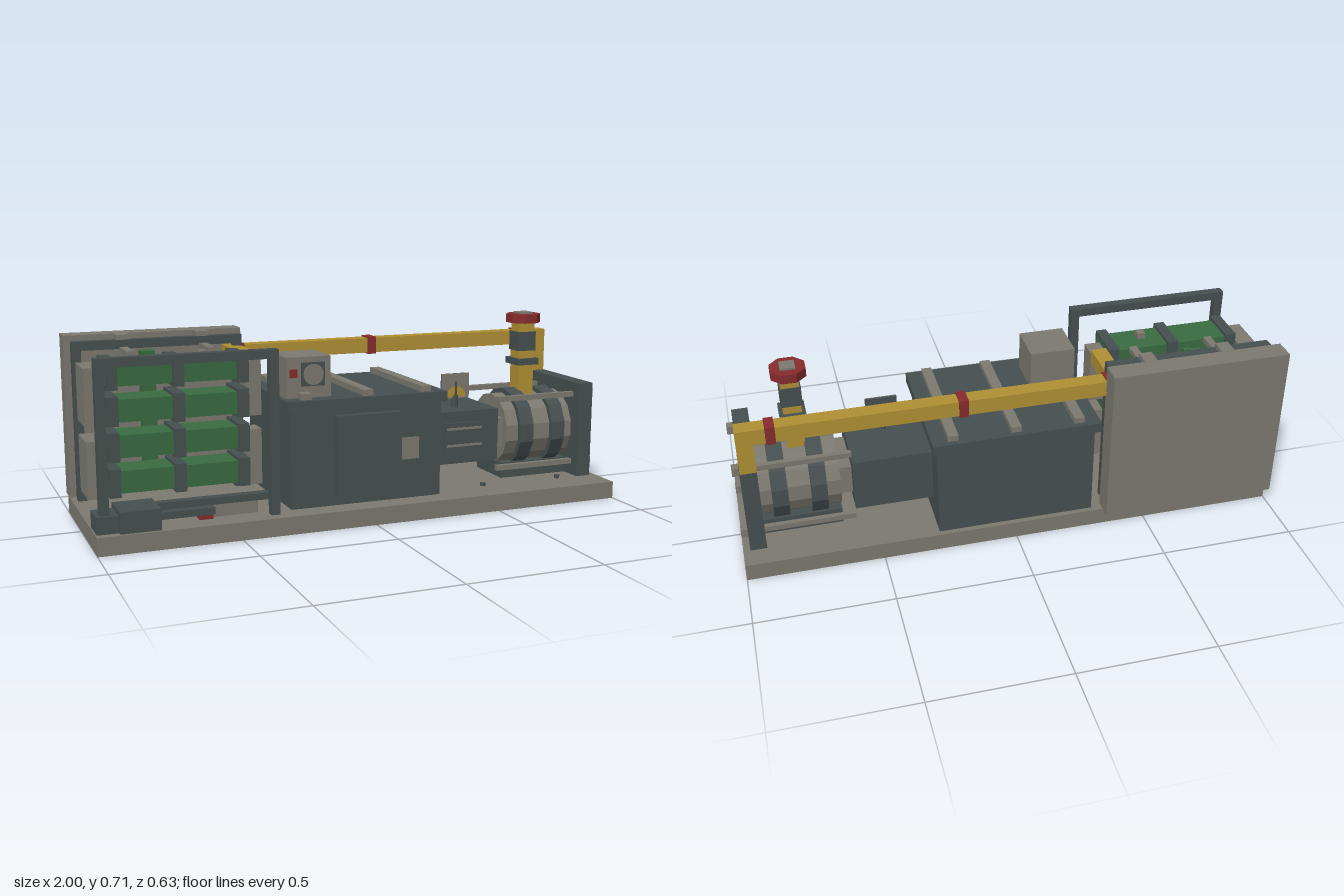
import * as THREE from 'three';

const paint = (name, color) => {
  const m = new THREE.MeshStandardMaterial({ color });
  m.name = name;
  return m;
};

export function createModel() {
  const grey = paint('warmGrey', 0x7b796f);
  const slate = paint('slate', 0x464f50);
  const green = paint('green', 0x3a6b41);
  const yellow = paint('yellow', 0xb09034);
  const red = paint('red', 0x862b2c);

  const model = new THREE.Group();
  model.name = 'pumpSkid';

  const group = (name) => {
    const g = new THREE.Group();
    g.name = name;
    model.add(g);
    return g;
  };
  // Box given by its limits on each axis
  const box = (parent, name, mat, x0, x1, y0, y1, z0, z1) => {
    const m = new THREE.Mesh(new THREE.BoxGeometry(x1 - x0, y1 - y0, z1 - z0), mat);
    m.position.set((x0 + x1) / 2, (y0 + y1) / 2, (z0 + z1) / 2);
    m.name = name;
    parent.add(m);
    return m;
  };
  // Faceted cylinder along x, y or z
  const cyl = (parent, name, mat, r, len, sides, axis, x, y, z) => {
    const geo = new THREE.CylinderGeometry(r, r, len, sides);
    geo.rotateY(Math.PI / sides);
    if (axis === 'x') geo.rotateZ(Math.PI / 2);
    if (axis === 'z') geo.rotateX(Math.PI / 2);
    const m = new THREE.Mesh(geo.toNonIndexed(), mat);
    m.geometry.computeVertexNormals();
    m.position.set(x, y, z);
    m.name = name;
    parent.add(m);
    return m;
  };

  // Base: thin deck on a hollow frame with two cross ribs
  const base = group('base');
  box(base, 'deck', grey, -1, 1, 0.05, 0.065, -0.27, 0.315);
  for (const z of [-0.27, 0.295]) box(base, 'sideRail', grey, -1, 1, 0, 0.05, z, z + 0.02);
  for (const x of [-1, -0.345, 0.325, 0.98])
    box(base, 'crossRib', grey, x, x + 0.02, 0, 0.05, -0.25, 0.295);
  for (const x of [-0.5, 0.5, 0.83]) cyl(base, 'deckBolt', slate, 0.01, 0.015, 8, 'y', x, 0.07, 0.18);

  // Rear shield panel
  box(group('rearPanel'), 'panel', grey, -1, -0.335, 0.065, 0.667, -0.312, -0.23);

  // Engine housing with lid, ribs and door
  const housing = group('engineHousing');
  box(housing, 'body', slate, -0.295, 0.29, 0.045, 0.425, -0.25, 0.23);
  box(housing, 'lid', slate, -0.313, 0.307, 0.42, 0.458, -0.27, 0.25);
  for (const x of [-0.235, 0, 0.23])
    box(housing, 'lidRib', grey, x - 0.019, x + 0.019, 0.458, 0.48, -0.25, 0.23);
  box(housing, 'door', slate, -0.13, 0.12, 0.107, 0.397, 0.23, 0.26);
  box(housing, 'latchPlate', grey, 0.12, 0.2, 0.213, 0.293, 0.23, 0.238);

  // Control box on the lid
  const control = group('controlBox');
  box(control, 'cabinet', grey, -0.297, -0.128, 0.458, 0.605, 0.022, 0.187);
  box(control, 'gaugePlate', slate, -0.24, -0.152, 0.5, 0.585, 0.187, 0.193);
  cyl(control, 'gaugeFace', grey, 0.038, 0.005, 16, 'z', -0.196, 0.542, 0.1945);
  box(control, 'switch', red, -0.284, -0.257, 0.533, 0.563, 0.187, 0.195);

  // Rack: two portal frames around the tank stack
  const rack = group('rack');
  for (const [z0, z1] of [[0.235, 0.27], [-0.2, -0.165]]) {
    for (const x of [-0.98, -0.382]) box(rack, 'post', slate, x, x + 0.032, 0.065, 0.65, z0, z1);
    box(rack, 'topRail', slate, -0.948, -0.382, 0.618, 0.65, z0, z1);
  }
  box(rack, 'bottomRail', slate, -0.78, -0.36, 0.115, 0.14, 0.2, 0.235);
  for (const x of [-0.795, -0.5]) {
    box(rack, 'tieArm', grey, x - 0.014, x + 0.014, 0.605, 0.625, -0.165, -0.045);
    box(rack, 'wallBracket', grey, x - 0.024, x + 0.024, 0.626, 0.668, -0.235, -0.17);
  }

  // Four strapped tanks
  const tanks = group('tankStack');
  for (let i = 0; i < 4; i++) {
    const y = 0.19 + i * 0.1255;
    box(tanks, 'tank', green, -0.915, -0.41, y - 0.04, y + 0.04, -0.032, 0.1);
    for (const x of [-0.895, -0.663, -0.43])
      box(tanks, 'strap', slate, x - 0.02, x + 0.02, y - 0.051, y + 0.051, -0.042, 0.115);
    box(tanks, 'branchPipe', green, -0.734, -0.706, y - 0.014, y + 0.014, -0.11, -0.03);
  }
  box(tanks, 'riserPipe', green, -0.745, -0.695, 0.12, 0.615, -0.147, -0.097);
  box(tanks, 'fillerCap', grey, -0.577, -0.547, 0.605, 0.63, 0.03, 0.062);
  for (const [y0, y1] of [[0.13, 0.335], [0.385, 0.59]]) {
    box(tanks, 'leftManifold', grey, -0.41, -0.352, y0, y1, -0.005, 0.072);
    box(tanks, 'rightManifold', grey, -0.983, -0.915, y0, y1, -0.08, 0.072);
  }

  // Small feed pump and valve in front of the rack
  const feed = group('feedPump');
  box(feed, 'pumpBlock', slate, -0.92, -0.78, 0.045, 0.14, 0.16, 0.303);
  box(feed, 'pumpEnd', slate, -0.995, -0.92, 0.065, 0.125, 0.18, 0.285);
  box(feed, 'feedLine', slate, -0.78, -0.585, 0.09, 0.115, 0.21, 0.268);
  box(feed, 'filter', grey, -0.585, -0.42, 0.07, 0.115, 0.17, 0.23);
  box(feed, 'valveHandle', red, -0.632, -0.583, 0.065, 0.09, 0.2, 0.235);

  // Gearbox with louvred cover
  const gearbox = group('gearbox');
  box(gearbox, 'case', slate, 0.29, 0.58, 0.153, 0.355, -0.15, 0.143);
  box(gearbox, 'cover', slate, 0.35, 0.515, 0.195, 0.312, 0.143, 0.15);
  for (const y of [0.22, 0.285]) box(gearbox, 'coverStrip', grey, 0.358, 0.507, y, y + 0.009, 0.15, 0.153);
  box(gearbox, 'coupling', grey, 0.58, 0.635, 0.195, 0.307, -0.1, 0.1);

  // Upright meter on the gearbox
  const meter = group('meter');
  cyl(meter, 'stem', slate, 0.014, 0.05, 8, 'y', 0.437, 0.378, 0.055);
  box(meter, 'backPlate', slate, 0.378, 0.495, 0.39, 0.487, 0.051, 0.056);
  box(meter, 'facePlate', grey, 0.378, 0.495, 0.39, 0.487, 0.056, 0.061);
  const dial = new THREE.Mesh(new THREE.CircleGeometry(0.042, 12, 0, Math.PI), yellow);
  dial.position.set(0.437, 0.396, 0.063);
  dial.name = 'dial';
  meter.add(dial);
  box(meter, 'needle', slate, 0.433, 0.441, 0.4, 0.456, 0.062, 0.066);

  // Compressor drum between tie rods
  const drum = group('drum');
  cyl(drum, 'barrel', grey, 0.138, 0.29, 14, 'x', 0.77, 0.25, 0);
  for (const x of [0.705, 0.845]) cyl(drum, 'band', slate, 0.157, 0.058, 14, 'x', x, 0.25, 0);
  box(drum, 'saddle', slate, 0.625, 0.915, 0.065, 0.125, -0.1, 0.1);
  box(drum, 'endPlate', slate, 0.915, 0.975, 0.065, 0.437, -0.187, 0.187);
  for (const y of [0.118, 0.389])
    for (const z of [-0.136, 0.136]) {
      box(drum, 'tieRod', grey, 0.58, 0.915, y - 0.01, y + 0.01, z - 0.01, z + 0.01);
      box(drum, 'rodNut', grey, 0.975, 1, y - 0.016, y + 0.016, z - 0.016, z + 0.016);
    }

  // Valve column with handwheel
  const valve = group('valveColumn');
  const vx = 0.763;
  box(valve, 'pipe', yellow, vx - 0.033, vx + 0.033, 0.37, 0.67, -0.033, 0.033);
  box(valve, 'flange', slate, vx - 0.047, vx + 0.047, 0.5, 0.525, -0.049, 0.05);
  box(valve, 'valveBody', slate, vx - 0.038, vx + 0.038, 0.555, 0.63, -0.037, 0.037);
  cyl(valve, 'handwheel', red, 0.067, 0.034, 8, 'y', vx, 0.683, 0);
  box(valve, 'hub', grey, vx - 0.027, vx + 0.027, 0.69, 0.707, -0.028, 0.028);

  // Long transfer pipe with clamps
  const pipe = group('transferPipe');
  box(pipe, 'run', yellow, -0.41, 0.973, 0.551, 0.608, -0.237, -0.179);
  box(pipe, 'drop', yellow, 0.915, 0.973, 0.437, 0.551, -0.237, -0.179);
  box(pipe, 'inlet', yellow, -0.41, -0.352, 0.551, 0.608, -0.179, -0.005);
  for (const x of [-0.353, 0.187, 0.855])
    box(pipe, 'clamp', red, x - 0.017, x + 0.017, 0.546, 0.613, -0.242, -0.174);

  return model;
}
